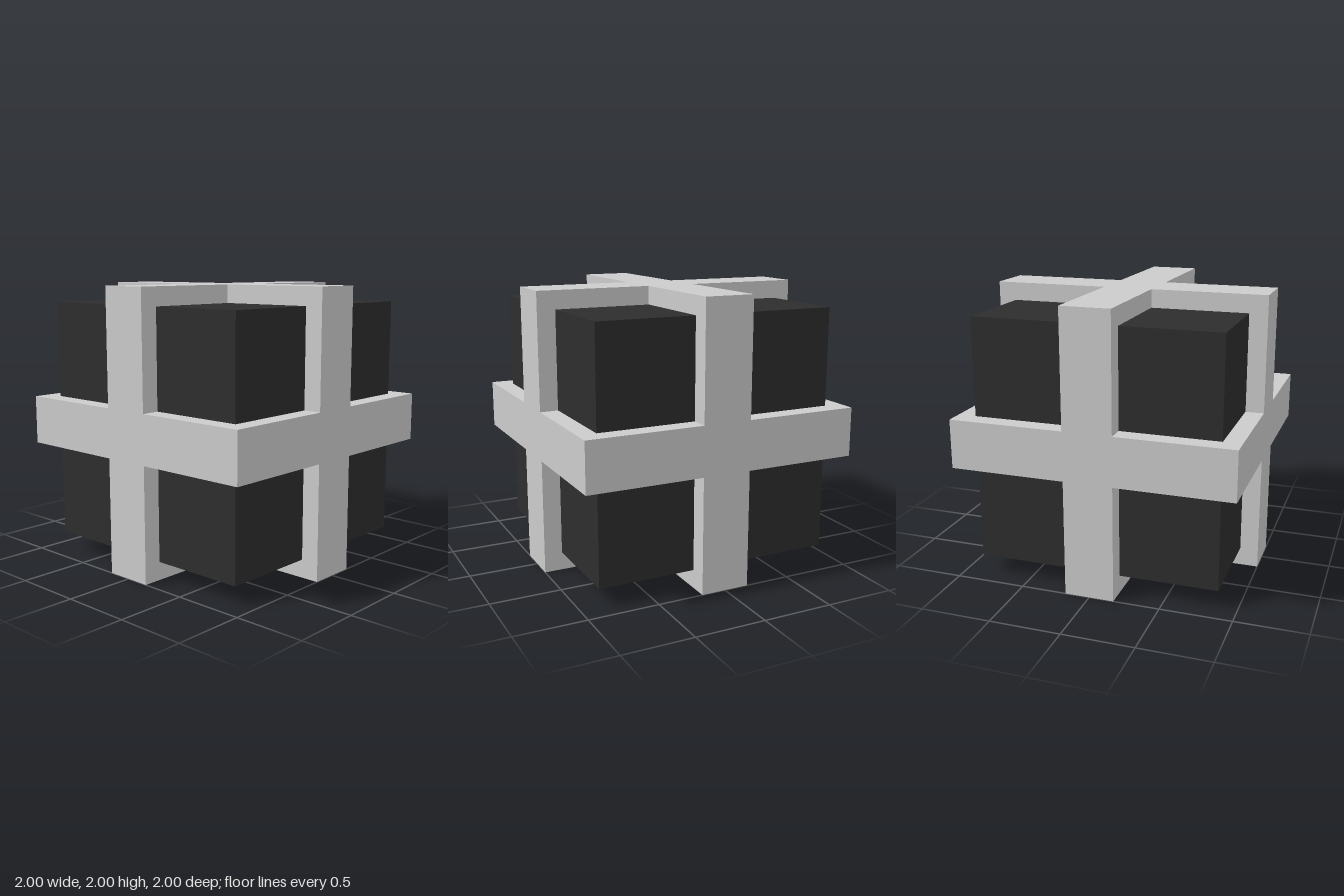
import * as THREE from 'three';

export function createModel() {
  const model = new THREE.Group();
  const grey = new THREE.MeshStandardMaterial({ color: 0xcccccc });
  const dark = new THREE.MeshStandardMaterial({ color: 0x2d2d2d });

  const size = 2;                    // outer span of the bands
  const band = 0.35;                 // band thickness
  const core = 1.74;                 // dark cube
  const arm = (size - band) / 2;     // length of a band beyond the crossing
  const mid = (size + band) / 4;     // centre of that length

  function box(name, material, w, h, d, x = 0, y = 0, z = 0) {
    const mesh = new THREE.Mesh(new THREE.BoxGeometry(w, h, d), material);
    mesh.name = name;
    mesh.position.set(x, y + size / 2, z);
    model.add(mesh);
  }

  // Dark cube whose eight corners show between the bands
  box('core', dark, core, core, core);

  // Three crossing slabs, split where they meet so that no faces overlap
  box('horizontalSlab', grey, size, band, size);
  for (const sy of [-1, 1]) {
    box('lengthwiseSlab', grey, band, arm, size, 0, sy * mid, 0);
    for (const sx of [-1, 1]) {
      box('crosswiseSlab', grey, arm, arm, band, sx * mid, sy * mid, 0);
    }
  }
  return model;
}
